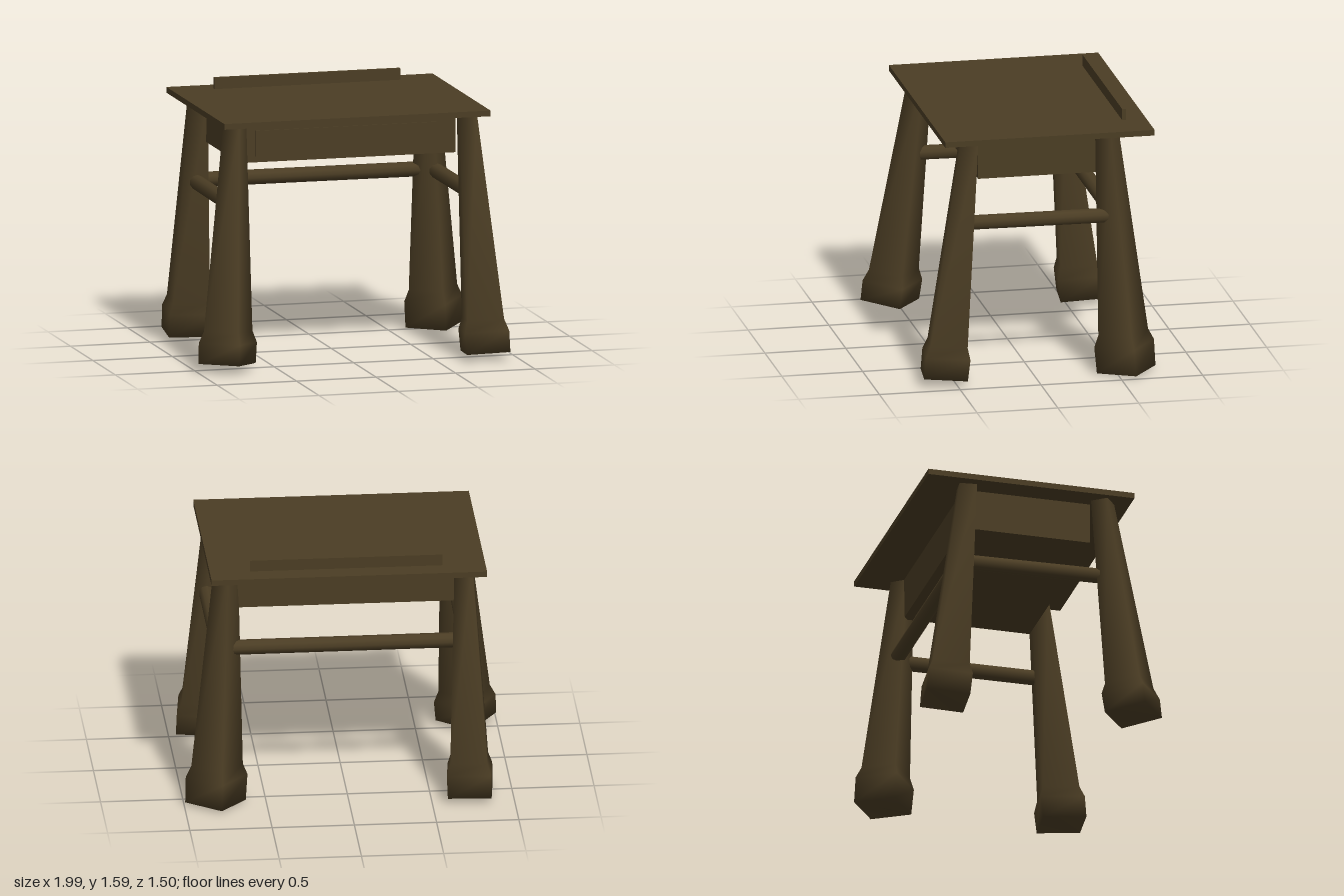
import * as THREE from 'three';

const wood = new THREE.MeshStandardMaterial({ color: 0x4b3d24 });
wood.name = 'dark wood';

function add(group, name, geometry) {
  const mesh = new THREE.Mesh(geometry, wood);
  mesh.name = name;
  group.add(mesh);
  return mesh;
}

// Box given by its minimum and maximum corners
function box(group, name, [x0, y0, z0], [x1, y1, z1]) {
  add(group, name, new THREE.BoxGeometry(x1 - x0, y1 - y0, z1 - z0))
    .position.set((x0 + x1) / 2, (y0 + y1) / 2, (z0 + z1) / 2);
}

// Tapered, leaning square leg with a flared foot; smooth normals from shared corners
function legGeometry(foot, top, baseY, degrees) {
  const topY = 1.49;
  const rings = [[baseY, 0.265], [0.17, 0.27], [0.24, 0.225], [topY, 0.107]]; // height, side
  const leanX = (foot[0] - top[0]) / topY;
  const leanZ = (foot[1] - top[1]) / topY;
  const points = [];
  const index = [];
  rings.forEach(([y, side], r) => {
    const t = (y - baseY) / (topY - baseY);
    for (let i = 0; i < 4; i++) {
      const a = THREE.MathUtils.degToRad(degrees + 45 + 90 * i);
      const dx = Math.cos(a) * side * Math.SQRT1_2;
      const dz = Math.sin(a) * side * Math.SQRT1_2;
      // the foot is cut square to the leaning axis
      const tilt = r < 3 ? 0.7 * (dx * leanX + dz * leanZ) : 0;
      points.push(
        THREE.MathUtils.lerp(foot[0], top[0], t) + dx,
        y + tilt,
        THREE.MathUtils.lerp(foot[1], top[1], t) + dz);
      if (r < 3) {
        const p = r * 4 + i, q = r * 4 + (i + 1) % 4;
        index.push(p, p + 4, q, q, p + 4, q + 4);
      }
    }
  });
  index.push(0, 1, 2, 0, 2, 3, 12, 14, 13, 12, 15, 14);
  const g = new THREE.BufferGeometry();
  g.setAttribute('position', new THREE.Float32BufferAttribute(points, 3));
  g.setIndex(index);
  g.computeVertexNormals();
  return g;
}

// Round rail between two points
function rail(group, name, from, to) {
  const a = new THREE.Vector3(...from), b = new THREE.Vector3(...to);
  const mesh = add(group, name, new THREE.CylinderGeometry(0.046, 0.046, a.distanceTo(b), 10));
  mesh.position.copy(a).add(b).multiplyScalar(0.5);
  mesh.quaternion.setFromUnitVectors(new THREE.Vector3(0, 1, 0), b.sub(a).normalize());
}

export function createModel() {
  const desk = new THREE.Group();
  desk.name = 'desk';

  // Top with a narrow ledge near the back
  box(desk, 'tabletop', [-0.83, 1.485, -0.735], [0.845, 1.52, 0.56]);
  box(desk, 'backLedge', [-0.57, 1.515, -0.61], [0.6, 1.59, -0.585]);

  // Drawer case and its front panel
  box(desk, 'drawerCase', [-0.67, 1.23, -0.47], [0.69, 1.488, 0.325]);
  box(desk, 'drawerFront', [-0.57, 1.265, 0.32], [0.6, 1.425, 0.334]);

  // Legs: foot centre, top centre (x, z), base height, turn
  add(desk, 'frontLeftLeg', legGeometry([0.813, 0.56], [0.742, 0.393], 0.04, 7));
  add(desk, 'frontRightLeg', legGeometry([-0.812, 0.558], [-0.717, 0.39], 0.045, 38));
  add(desk, 'backLeftLeg', legGeometry([0.807, -0.567], [0.735, -0.463], 0.007, 38));
  add(desk, 'backRightLeg', legGeometry([-0.738, -0.605], [-0.71, -0.46], 0.03, 6));

  // Rails on both sides and the back
  rail(desk, 'leftRail', [0.78, 0.985, 0.43], [0.78, 0.98, -0.5]);
  rail(desk, 'rightRail', [-0.735, 0.985, 0.43], [-0.72, 0.98, -0.5]);
  rail(desk, 'backRail', [-0.72, 0.985, -0.5], [0.76, 0.982, -0.5]);

  return desk;
}
